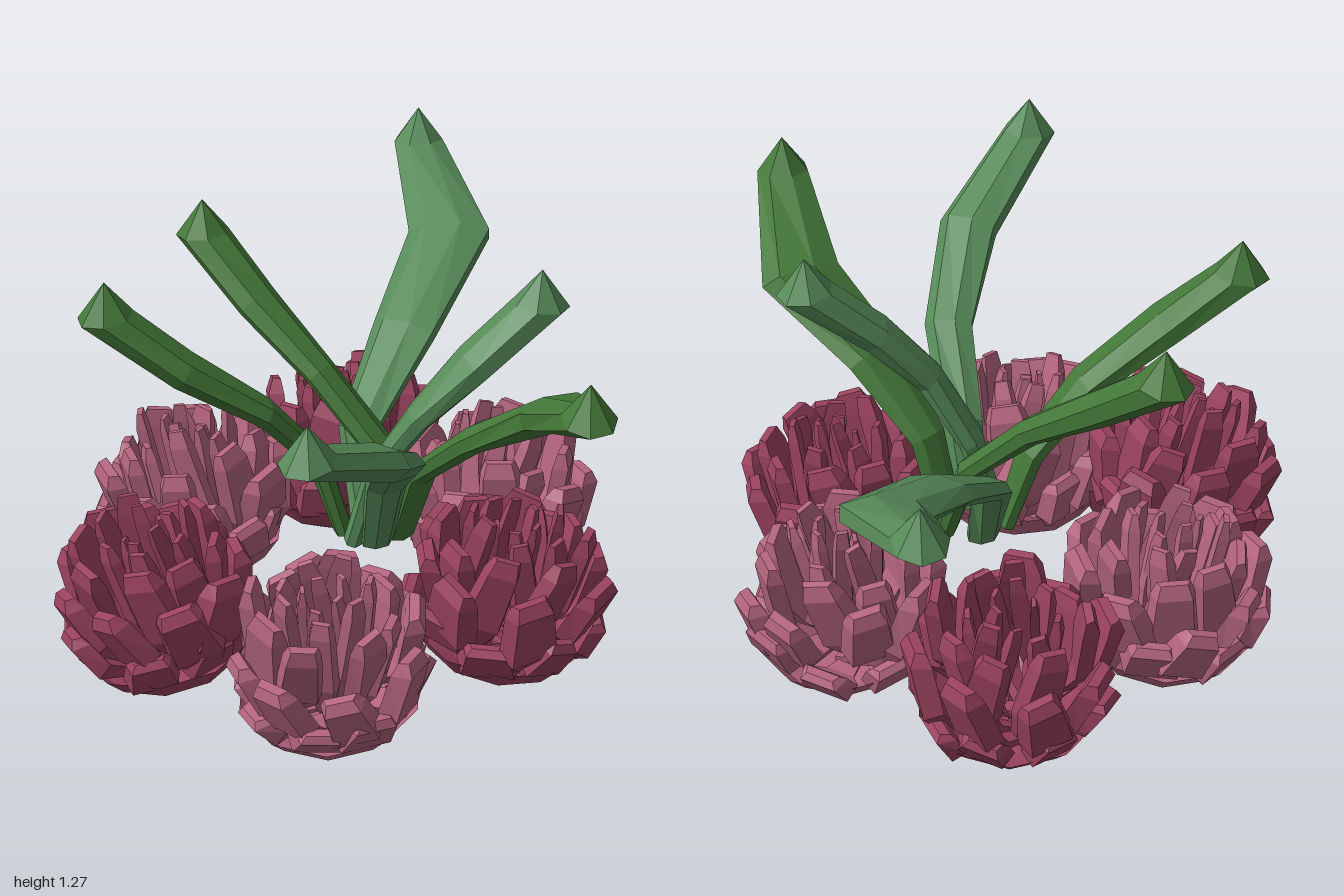
import * as THREE from 'three';
import { mergeGeometries } from 'three/addons/utils/BufferGeometryUtils.js';

const V = (x, y, z) => new THREE.Vector3(x, y, z);
const mat = (color) => new THREE.MeshStandardMaterial({ color, flatShading: true, side: THREE.DoubleSide });
const darkPink = mat(0x9c4360), lightPink = mat(0xb5657f);
const darkGreen = mat(0x437838), lightGreen = mat(0x568a58);

let seed = 7;
const rnd = () => ((seed = (seed * 16807) % 2147483647) / 2147483647) * 2 - 1;

// Closed loft: each station has centre p, tangent t, width axis a, half width w, half thickness h
function loft(stations, section, apex) {
  const pos = [], idx = [], n = section.length;
  for (const { p, t, a, w, h } of stations) {
    const normal = t.clone().cross(a).normalize();
    for (const [u, v] of section) {
      const q = p.clone().addScaledVector(a, u * w).addScaledVector(normal, v * h);
      pos.push(q.x, q.y, q.z);
    }
  }
  const last = (stations.length - 1) * n;
  pos.push(...stations[0].p.toArray(), ...apex.toArray());
  const c0 = last + n, c1 = c0 + 1;
  for (let j = 0; j < n; j++) {
    const k = (j + 1) % n;
    for (let i = 0; i < last; i += n) {
      idx.push(i + j, i + k, i + n + j, i + k, i + n + k, i + n + j);
    }
    idx.push(c0, k, j, c1, last + j, last + k);
  }
  const g = new THREE.BufferGeometry();
  g.setAttribute('position', new THREE.Float32BufferAttribute(pos, 3));
  g.setIndex(idx);
  g.computeVertexNormals();
  return g;
}

// Spoon-like petal: narrow stem from the flower centre, ending in a thick tapered block
const petalSection = [[1, -0.9], [0.8, 1], [-0.8, 1], [-1, -0.9]];
function petal(R, H, w, h) {
  const curve = new THREE.QuadraticBezierCurve3(
    V(0.02, 0.11, 0), V(R, 0.06 + H * 0.2, 0), V(R, H, 0));
  const a = V(0, 0, 1);
  const rows = [[0, 0.2, 0.4], [0.35, 0.5, 0.6], [0.6, 1, 1], [0.93, 0.8, 1], [1, 0.6, 0.5]];
  const st = rows.map(([s, kw, kh]) => ({ p: curve.getPoint(s), t: curve.getTangent(s), a, w: w * kw, h: h * kh }));
  return loft(st, petalSection, curve.getPoint(1));
}

// Petal rings, outside to inside: count, radius, tip height, half width, half thickness
const RINGS = [
  [8, 0.265, 0.27, 0.09, 0.03],
  [8, 0.275, 0.42, 0.09, 0.032],
  [8, 0.21, 0.51, 0.075, 0.026],
  [7, 0.13, 0.56, 0.045, 0.018],
  [5, 0.06, 0.55, 0.03, 0.014],
];

function createFlower(material) {
  const flower = new THREE.Group();
  flower.name = 'flower';
  RINGS.forEach(([n, R, H, w, h], ring) => {
    const parts = [];
    for (let i = 0; i < n; i++) {
      const g = petal(R * (1 + rnd() * 0.08), H + rnd() * 0.045, w * (1 + rnd() * 0.12), h);
      // twist about the upright axis, roll about the radial axis, then lean in or out
      g.translate(-R, -H, 0).rotateY(rnd() * 0.3).rotateX(rnd() * 0.25).rotateZ(rnd() * 0.1).translate(R, H, 0);
      parts.push(g.rotateY(((i + ring * 0.5) / n) * Math.PI * 2 + rnd() * 0.12));
    }
    const mesh = new THREE.Mesh(mergeGeometries(parts), material);
    mesh.name = 'petalRing' + (ring + 1);
    flower.add(mesh);
  });
  // faceted bowl closing the underside
  const profile = [[0, 0.045], [0.13, 0.06], [0.22, 0.1], [0.275, 0.17]].map(([x, y]) => new THREE.Vector2(x, y));
  const bowl = new THREE.Mesh(new THREE.LatheGeometry(profile, 10), material);
  bowl.name = 'flowerBowl';
  flower.add(bowl);
  return flower;
}

// Flower places: x, y, z, outward lean, material
const FLOWERS = [
  [-0.59, 0.04, -0.13, 0.16, darkPink], [-0.22, 0.04, -0.57, 0.1, lightPink],
  [0.33, 0.03, -0.58, 0.13, darkPink], [0.53, 0.03, -0.06, 0.1, lightPink],
  [0.24, 0.02, 0.35, 0.13, darkPink], [-0.31, -0.03, 0.29, 0.18, lightPink],
];

// Leaf plan points [x, z] from base to tip, with bend half width
const LEAVES = [
  { path: [[0.10, -0.12], [0.14, -0.22], [0.42, -0.37], [0.74, -0.57], [0.86, -0.92]], w: 0.135, m: lightGreen },
  { path: [[0.17, -0.03], [0.13, -0.10], [0.04, -0.28], [-0.04, -0.50], [-0.10, -0.71]], w: 0.075, m: darkGreen },
  { path: [[0.00, -0.10], [-0.07, -0.13], [-0.24, -0.17], [-0.46, -0.26], [-0.64, -0.38]], w: 0.095, m: darkGreen },
  { path: [[0.04, 0.02], [0.01, 0.11], [-0.09, 0.32], [-0.31, 0.53], [-0.64, 0.67]], w: 0.095, m: lightGreen },
  { path: [[0.13, 0.02], [0.14, 0.11], [0.19, 0.32], [0.27, 0.58], [0.12, 0.91]], w: 0.13, m: darkGreen },
  { path: [[-0.01, -0.03], [0.04, 0.02], [0.12, 0.12], [0.26, 0.20], [0.45, 0.27]], w: 0.09, m: lightGreen },
];
const LEAF_Y = [0.38, 0.63, 0.83, 1.0, 1.17];

function createLeaf({ path, w, m }) {
  const pts = path.map(([x, z], i) => V(x, LEAF_Y[i], z));
  const section = Array.from({ length: 7 }, (_, j) => {
    const a = (j / 7) * Math.PI * 2;
    return [Math.cos(a), Math.sin(a)];
  });
  const widths = [0.05, 0.065, 0.8 * w, w, 0.08], depths = [0.03, 0.035, 0.042, 0.055, 0.085];
  const st = pts.map((p, i) => {
    const t = pts[Math.min(i + 1, 4)].clone().sub(pts[Math.max(i - 1, 0)]).normalize();
    const a = V(t.z, 0, -t.x).normalize();
    // the tip turns upright
    if (i === 4) t.multiplyScalar(0.2).add(V(0, 1, 0)).normalize();
    return { p, t, a, w: widths[i], h: depths[i] };
  });
  const leaf = new THREE.Mesh(loft(st, section, pts[4].clone().setY(1.28)), m);
  leaf.name = 'leaf';
  return leaf;
}

export function createModel() {
  const model = new THREE.Group();
  model.name = 'flowerCluster';
  // blossoms lean slightly outwards
  for (const [x, y, z, lean, m] of FLOWERS) {
    const flower = createFlower(m);
    flower.position.set(x, y, z);
    flower.quaternion.setFromAxisAngle(V(z, 0, -x).normalize(), lean);
    model.add(flower);
  }
  for (const leaf of LEAVES) model.add(createLeaf(leaf));
  return model;
}
